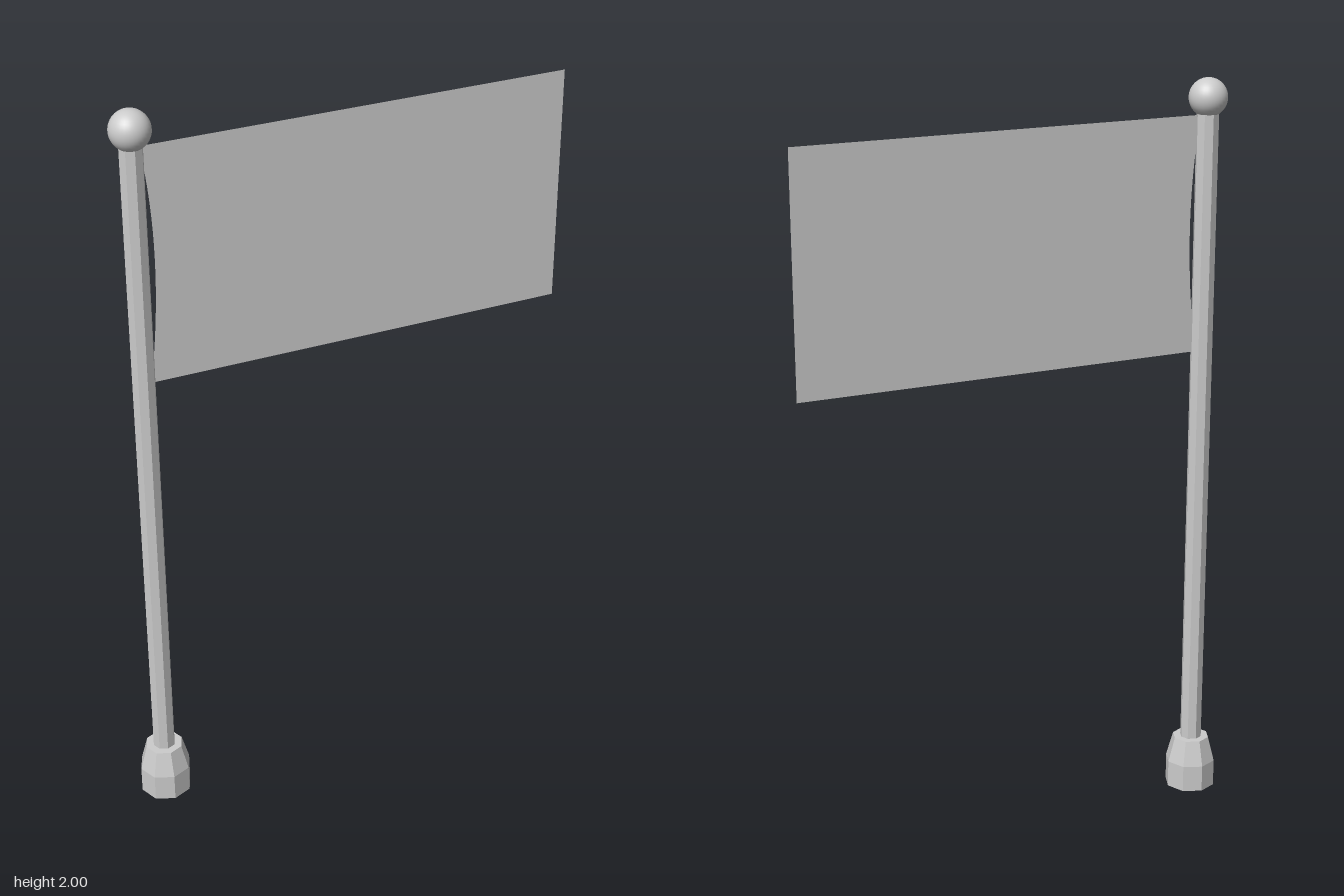
import * as THREE from 'three';

const POLE_X = -0.54;

export function createModel() {
  const group = new THREE.Group();
  const faceted = new THREE.MeshStandardMaterial({ color: 0xcccccc, flatShading: true });
  const smooth = new THREE.MeshStandardMaterial({ color: 0xcccccc });
  const cloth = new THREE.MeshStandardMaterial({ color: 0xcccccc, side: THREE.DoubleSide });

  const add = (name, geometry, material, x = 0, y = 0) => {
    const mesh = new THREE.Mesh(geometry, material);
    mesh.name = name;
    mesh.position.set(x, y, 0);
    group.add(mesh);
  };

  // Octagonal foot: straight collar, then a taper
  const profile = [[0, 0], [0.07, 0], [0.07, 0.075], [0.051, 0.145], [0, 0.145]];
  add('base', new THREE.LatheGeometry(profile.map(([r, y]) => new THREE.Vector2(r, y)), 8), faceted, POLE_X);

  // Octagonal pole, its ends sunk into the foot and the ball
  add('pole', new THREE.CylinderGeometry(0.03, 0.03, 1.8, 8), faceted, POLE_X, 1.02);

  // Ball on top
  add('finial', new THREE.SphereGeometry(0.051, 32, 20), smooth, POLE_X, 1.949);

  // Flat cloth, its inner edge bowed away from the pole between the two tied corners
  const flag = new THREE.Shape();
  flag.moveTo(-0.52, 1.275);
  flag.lineTo(0.605, 1.275);
  flag.lineTo(0.605, 1.905);
  flag.lineTo(-0.52, 1.905);
  flag.bezierCurveTo(-0.487, 1.72, -0.487, 1.5, -0.52, 1.275);
  add('flag', new THREE.ShapeGeometry(flag, 16), cloth);

  return group;
}
